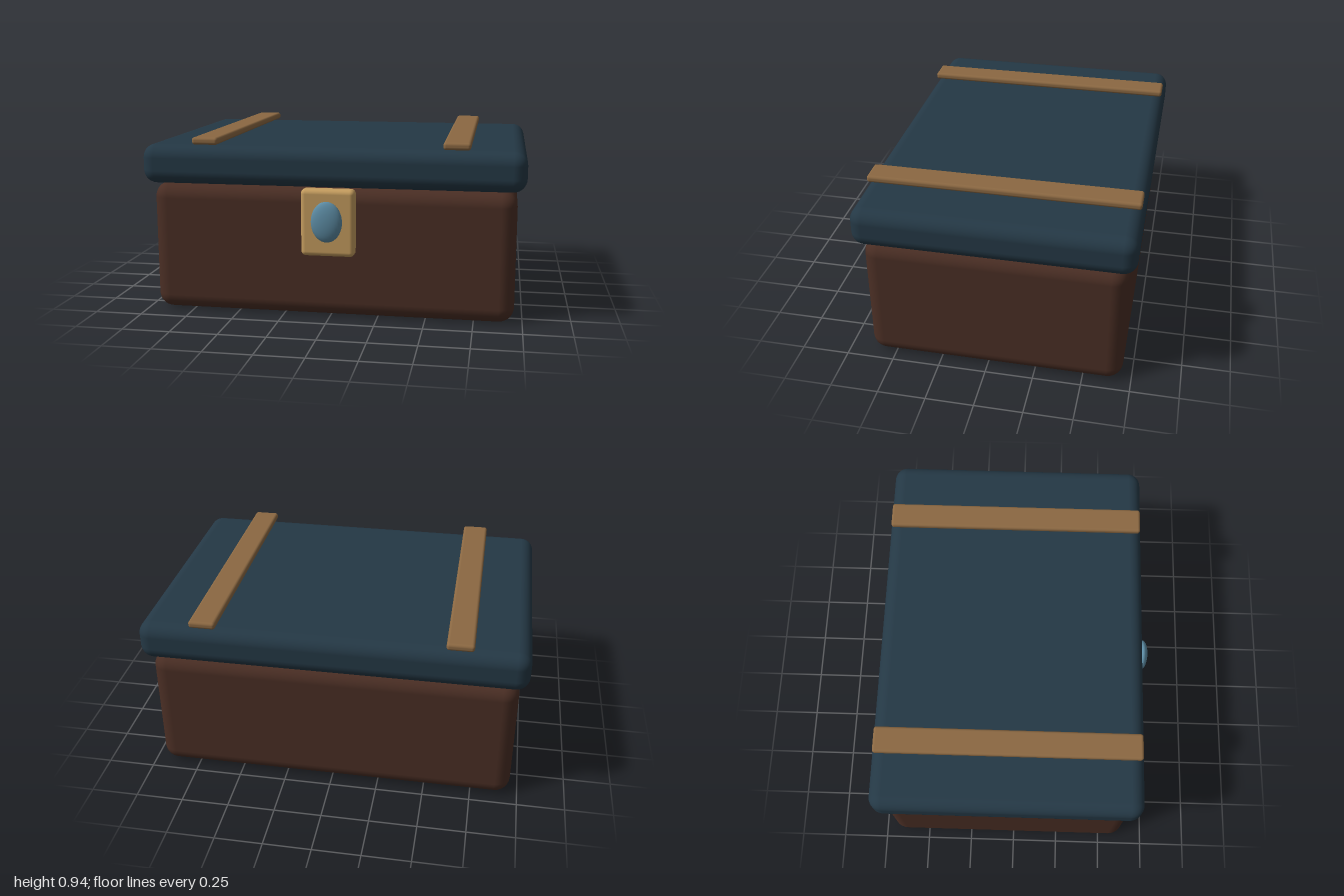
import * as THREE from 'three';
import { RoundedBoxGeometry } from 'three/addons/geometries/RoundedBoxGeometry.js';

const paint = (name, color) => {
  const m = new THREE.MeshStandardMaterial({ color });
  m.name = name;
  return m;
};

export function createModel() {
  const brown = paint('dark brown leather', 0x4a2e24);
  const navy = paint('navy lid', 0x243845);
  const tan = paint('tan strap', 0x8b6842);
  const brass = paint('brass', 0xc49c5e);
  const blue = paint('blue stone', 0x5c8ba3);

  const model = new THREE.Group();
  model.name = 'chest';

  // Rounded box given by its lower and upper corners
  const block = (name, material, min, max, radius) => {
    const size = max.map((v, i) => v - min[i]);
    const mesh = new THREE.Mesh(new RoundedBoxGeometry(...size, 4, radius), material);
    mesh.position.set(...max.map((v, i) => (v + min[i]) / 2));
    mesh.name = name;
    model.add(mesh);
  };

  // Main box and overhanging lid
  block('body', brown, [-0.957, 0, -0.702], [0.957, 0.69, 0.635], 0.08);
  block('lid', navy, [-1, 0.69, -0.742], [1, 0.897, 0.675], 0.07);

  // Pair of straps across the lid
  for (const [name, x] of [['leftStrap', 0.65], ['rightStrap', -0.65]]) {
    block(name, tan, [x - 0.069, 0.902, -0.73], [x + 0.069, 0.94, 0.663], 0.015);
  }

  // Clasp plate with an oval stone
  block('claspPlate', brass, [-0.14, 0.34, 0.612], [0.14, 0.69, 0.692], 0.025);
  const stone = new THREE.Mesh(new THREE.SphereGeometry(1, 32, 20), blue);
  stone.scale.set(0.081, 0.106, 0.033);
  stone.position.set(0, 0.527, 0.71);
  stone.name = 'claspStone';
  model.add(stone);

  return model;
}
